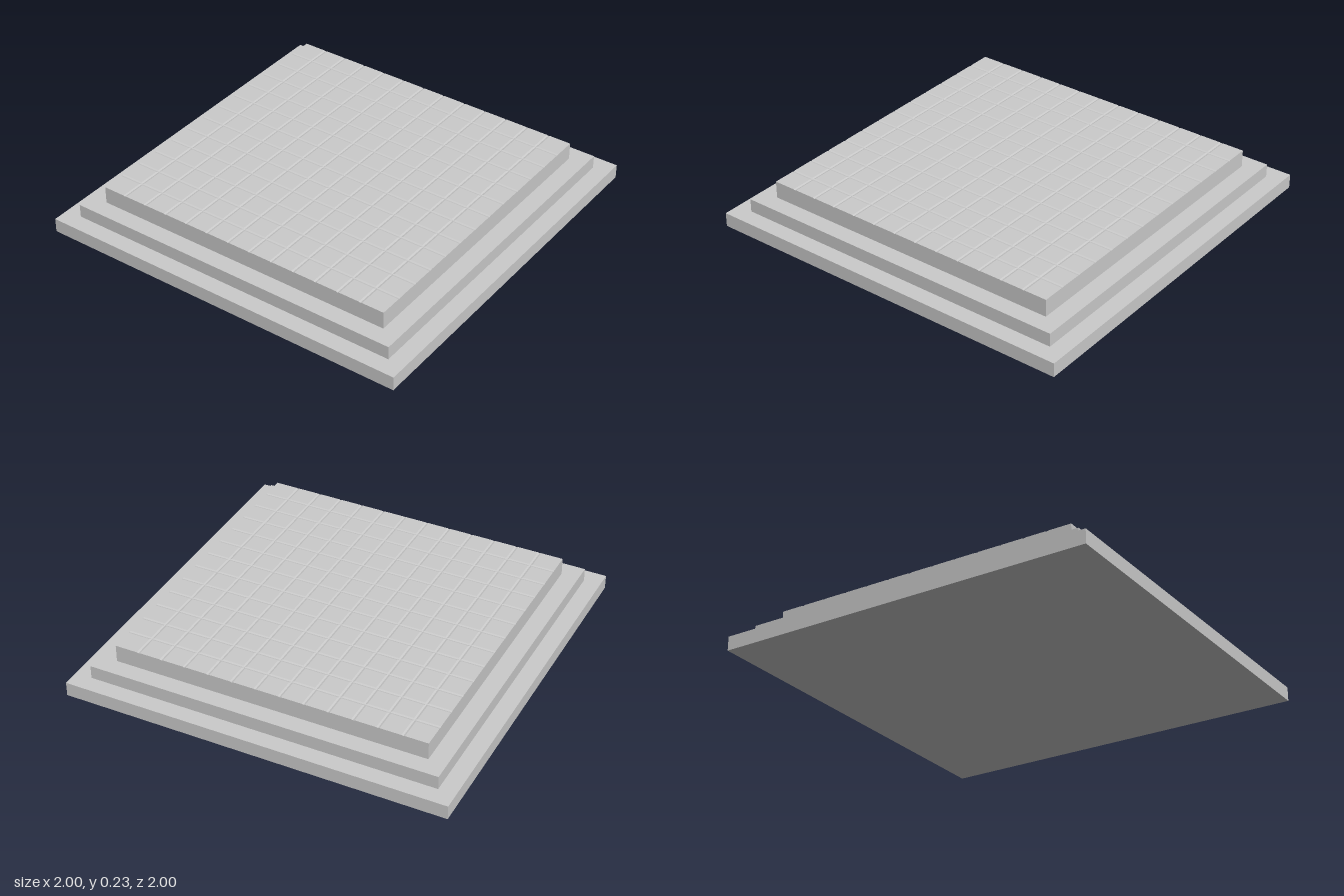
import * as THREE from 'three';
import { mergeGeometries } from 'three/addons/utils/BufferGeometryUtils.js';

const material = new THREE.MeshStandardMaterial({ color: 0xcccccc, flatShading: true });

const TOP = 0.235; // height of the finished surface
const HALF = 0.82; // half width of the tiled platform
const COUNT = 13; // tiles along each side
const GROOVE = 0.009; // half width of a joint
const DEPTH = 0.0025; // depth of a joint

// Square slab between two heights
function slab(name, half, y0, y1) {
  const geometry = new THREE.BoxGeometry(half * 2, y1 - y0, half * 2);
  geometry.translate(0, (y0 + y1) / 2, 0);
  const mesh = new THREE.Mesh(geometry, material);
  mesh.name = name;
  return mesh;
}

// Drop one face (0..5: +x, -x, +y, -y, +z, -z) of a box
function dropFace(geometry, face) {
  const index = Array.from(geometry.index.array);
  index.splice(face * 6, 6);
  geometry.setIndex(index);
}

// One paving tile, bevelled on the sides that meet a neighbour
function tile(i, j) {
  const size = (HALF * 2) / COUNT;
  const geometry = new THREE.BoxGeometry(size, DEPTH, size);
  dropFace(geometry, 3);
  const p = geometry.attributes.position;
  const inset = (v, k) => {
    const outer = v < 0 ? k === 0 : k === COUNT - 1;
    return outer ? v : v - Math.sign(v) * GROOVE;
  };
  for (let n = 0; n < p.count; n++) {
    if (p.getY(n) > 0) {
      p.setX(n, inset(p.getX(n), i));
      p.setZ(n, inset(p.getZ(n), j));
    }
  }
  geometry.translate(-HALF + (i + 0.5) * size, TOP - DEPTH / 2, -HALF + (j + 0.5) * size);
  geometry.computeVertexNormals();
  return geometry;
}

export function createModel() {
  const model = new THREE.Group();
  model.name = 'steppedPlatform';

  // Three stacked steps
  model.add(slab('lowerStep', 1, 0, 0.074));
  model.add(slab('middleStep', 0.912, 0.074, 0.144));
  const platform = slab('platform', HALF, 0.144, TOP - DEPTH);
  dropFace(platform.geometry, 2);
  model.add(platform);

  // Paved surface with shallow V joints
  const tiles = [];
  for (let i = 0; i < COUNT; i++) {
    for (let j = 0; j < COUNT; j++) tiles.push(tile(i, j));
  }
  const paving = new THREE.Mesh(mergeGeometries(tiles), material);
  paving.name = 'pavingTiles';
  model.add(paving);

  return model;
}
